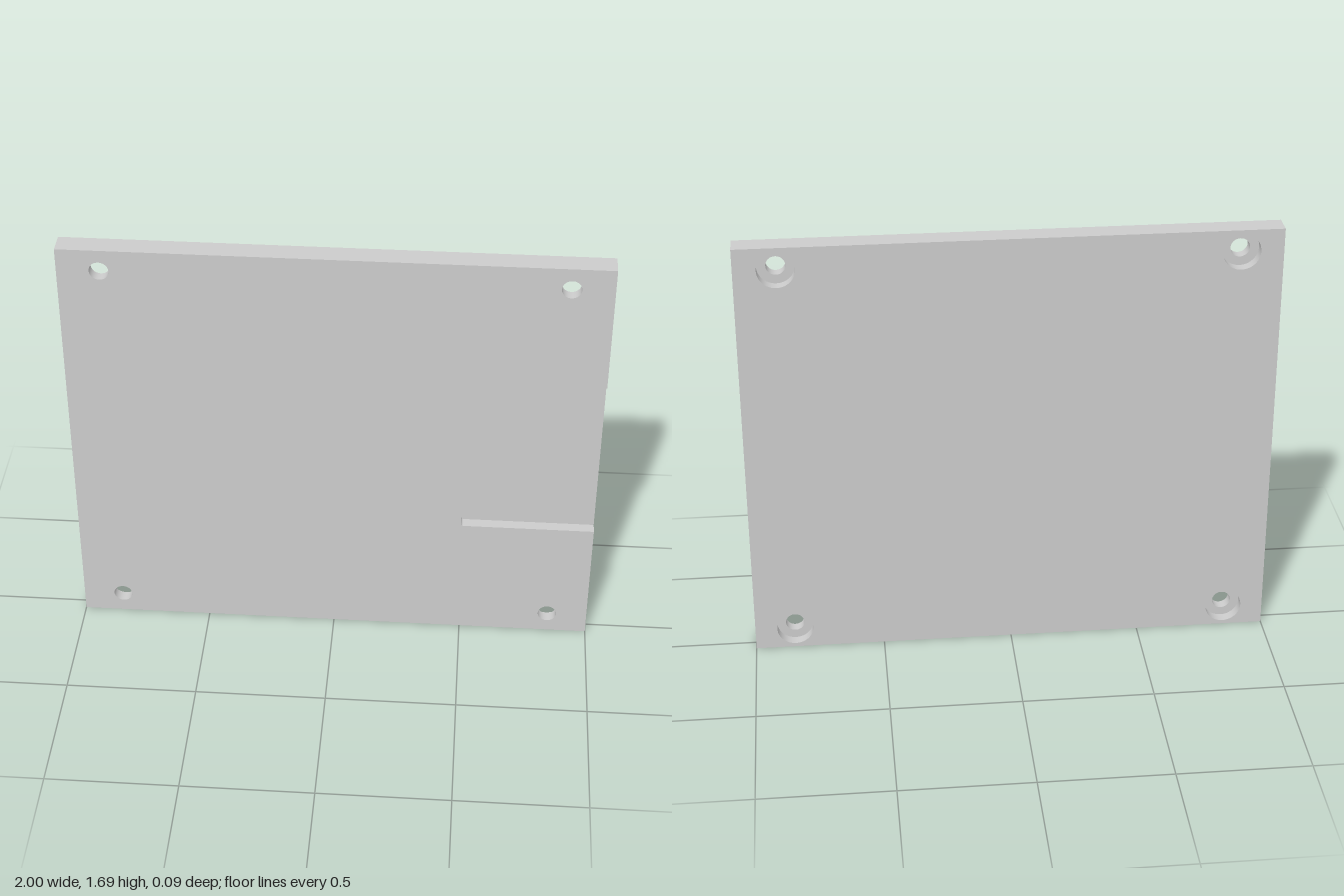
import * as THREE from 'three';

const W = 1, H = 1.69, T = 0.0425;                  // half width, height, half thickness
const POCKET = { x: 0.49, y0: 0.51, y1: 1.185, r: 0.01 };
const HOLE_R = 0.036, BORE_R = 0.07;
const HOLES = [-0.845, 0.845].flatMap((x) => [0.085, 1.605].map((y) => [x, y]));

const material = new THREE.MeshStandardMaterial({ color: 0xcccccc });
const holeMaterial = new THREE.MeshStandardMaterial({ color: 0xcccccc, side: THREE.BackSide });

function addMesh(parent, name, geometry, mat = material) {
  const mesh = new THREE.Mesh(geometry, mat);
  mesh.name = name;
  parent.add(mesh);
  return mesh;
}

// Full rectangle, counter-clockwise
function plateShape() {
  return new THREE.Shape().moveTo(-W, 0).lineTo(W, 0).lineTo(W, H).lineTo(-W, H).closePath();
}

// Rectangle with the pocket cut in from the +x edge
function notchedShape() {
  const { x, y0, y1, r } = POCKET;
  return new THREE.Shape()
    .moveTo(-W, 0).lineTo(W, 0).lineTo(W, y0).lineTo(x + r, y0)
    .absarc(x + r, y0 + r, r, -Math.PI / 2, -Math.PI, true)
    .absarc(x + r, y1 - r, r, Math.PI, Math.PI / 2, true)
    .lineTo(W, y1).lineTo(W, H).lineTo(-W, H).closePath();
}

// The pocket's own outline
function pocketShape() {
  const { x, y0, y1, r } = POCKET;
  return new THREE.Shape()
    .moveTo(W, y0).lineTo(W, y1).lineTo(x + r, y1)
    .absarc(x + r, y1 - r, r, Math.PI / 2, Math.PI, false)
    .absarc(x + r, y0 + r, r, Math.PI, Math.PI * 1.5, false)
    .closePath();
}

// Punch the four screw holes at the given radius
function punch(shape, radius) {
  for (const [x, y] of HOLES) {
    shape.holes.push(new THREE.Path().absarc(x, y, radius, 0, Math.PI * 2, true));
  }
  return shape;
}

// Outward-facing wall along a counter-clockwise outline, from z0 to z1
function wallGeometry(shape, z0, z1) {
  const points = shape.getPoints(6);
  const positions = [];
  points.forEach((a, i) => {
    const b = points[(i + 1) % points.length];
    if (a.distanceTo(b) < 1e-6) return;
    positions.push(a.x, a.y, z0, b.x, b.y, z0, b.x, b.y, z1);
    positions.push(a.x, a.y, z0, b.x, b.y, z1, a.x, a.y, z1);
  });
  const geometry = new THREE.BufferGeometry();
  geometry.setAttribute('position', new THREE.Float32BufferAttribute(positions, 3));
  geometry.computeVertexNormals();
  return geometry;
}

// Inside wall of a round hole along z
function boreGeometry(radius, z0, z1) {
  return new THREE.CylinderGeometry(radius, radius, z1 - z0, 48, 1, true)
    .rotateX(Math.PI / 2).translate(0, 0, (z0 + z1) / 2);
}

export function createModel() {
  const model = new THREE.Group();
  model.name = 'mountingPlate';

  // Broad faces
  addMesh(model, 'frontFace', new THREE.ShapeGeometry(punch(notchedShape(), HOLE_R), 24))
    .position.z = T;
  const back = addMesh(model, 'backFace',
    new THREE.ShapeGeometry(punch(plateShape(), BORE_R), 24).rotateY(Math.PI));
  back.position.z = -T;

  // Edges: full outline behind the pocket floor, notched outline in front
  addMesh(model, 'rearEdge', wallGeometry(plateShape(), -T, 0));
  addMesh(model, 'frontEdge', wallGeometry(notchedShape(), 0, T));

  // Floor of the shallow side pocket
  addMesh(model, 'pocketFloor', new THREE.ShapeGeometry(pocketShape(), 6));

  // Screw holes, counterbored from the back
  for (const [x, y] of HOLES) {
    const hole = new THREE.Group();
    hole.name = 'screwHole';
    hole.position.set(x, y, 0);
    addMesh(hole, 'throughHole', boreGeometry(HOLE_R, 0, T), holeMaterial);
    addMesh(hole, 'counterbore', boreGeometry(BORE_R, -T, 0), holeMaterial);
    addMesh(hole, 'counterboreFloor',
      new THREE.RingGeometry(HOLE_R, BORE_R, 48).rotateY(Math.PI));
    model.add(hole);
  }
  return model;
}
